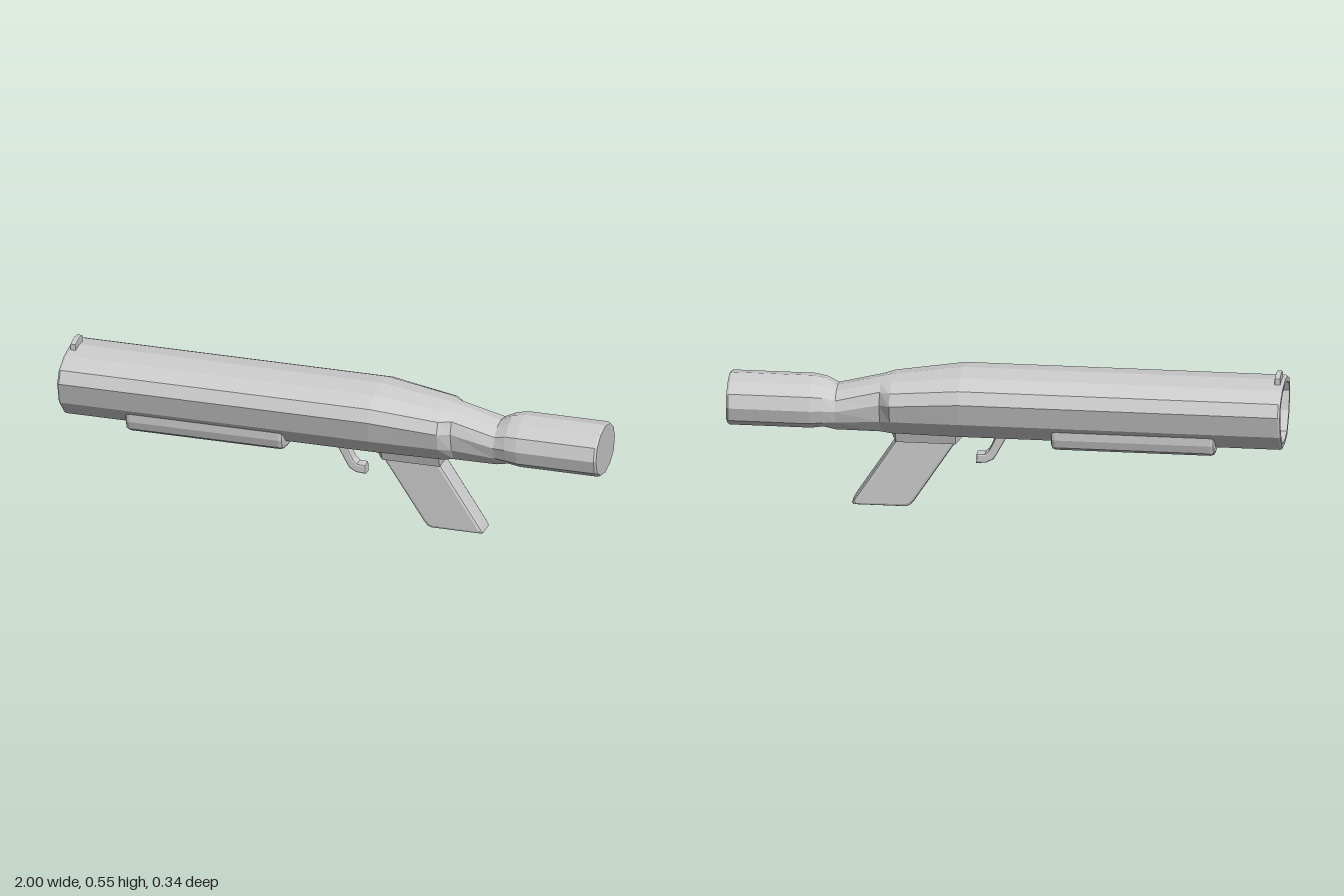
import * as THREE from 'three';

const mat = new THREE.MeshStandardMaterial({ color: 0xcccccc, flatShading: true, side: THREE.DoubleSide });

function add(parent, name, geometry) {
  const mesh = new THREE.Mesh(geometry, mat);
  mesh.name = name;
  parent.add(mesh);
  return mesh;
}

// Half profile [z, y] from top to bottom, mirrored into a closed ring
function mirrorRing(half) {
  return [...half, ...half.slice(1, -1).reverse().map(([z, y]) => [-z, y])];
}

function scaleRing(ring, s, cy) {
  return ring.map(([z, y]) => [z * s, cy + (y - cy) * s]);
}

// Skin between rings along x; sections are [x, ring]
function loft(sections) {
  const pos = [];
  for (let i = 0; i < sections.length - 1; i++) {
    const [x0, r0] = sections[i], [x1, r1] = sections[i + 1];
    for (let j = 0; j < r0.length; j++) {
      const k = (j + 1) % r0.length;
      const a = [x0, r0[j][1], r0[j][0]], b = [x0, r0[k][1], r0[k][0]];
      const c = [x1, r1[k][1], r1[k][0]], d = [x1, r1[j][1], r1[j][0]];
      pos.push(...a, ...b, ...c, ...a, ...c, ...d);
    }
  }
  const g = new THREE.BufferGeometry();
  g.setAttribute('position', new THREE.Float32BufferAttribute(pos, 3));
  g.computeVertexNormals();
  return g;
}

// Outline extruded symmetrically about z = 0, with bevelled rims
function slab(points, width, bevel) {
  const shape = new THREE.Shape(points.map(([x, y]) => new THREE.Vector2(x, y)));
  const g = new THREE.ExtrudeGeometry(shape, {
    depth: width - 2 * bevel, bevelEnabled: true, bevelThickness: bevel,
    bevelSize: bevel, bevelOffset: -bevel, bevelSegments: 2,
  });
  return g.translate(0, 0, bevel - width / 2);
}

export function createModel() {
  const model = new THREE.Group();
  model.name = 'launcher';

  // Twelve-sided cross-sections
  const barrel = mirrorRing([[0, .528], [.085, .516], [.148, .487], [.17, .442], [.148, .36], [.08, .29], [0, .28]]);
  const shoulder = mirrorRing([[0, .492], [.068, .482], [.12, .457], [.14, .415], [.122, .35], [.07, .29], [0, .28]]);
  const neckFront = mirrorRing([[0, .483], [.05, .474], [.086, .45], [.1, .405], [.088, .338], [.055, .29], [0, .28]]);
  const neckBack = mirrorRing([[0, .442], [.05, .434], [.086, .41], [.1, .372], [.088, .328], [.055, .291], [0, .282]]);
  const stock = mirrorRing([[0, .473], [.062, .46], [.107, .427], [.122, .378], [.107, .327], [.062, .296], [0, .283]]);
  const bore = scaleRing(barrel, 0.84, 0.405);

  // Body: hollow barrel, tapered shoulder, neck and rear tube in one skin
  add(model, 'body', loft([
    [0.1, scaleRing(bore, 0, 0.405)],
    [0.1, bore],
    [-1, bore],
    [-1, scaleRing(barrel, 0.97, 0.405)],
    [-0.993, barrel],
    [0.16, barrel],
    [0.41, shoulder],
    [0.45, neckFront],
    [0.61, neckBack],
    [0.655, scaleRing(stock, 0.93, 0.37)],
    [0.7, stock],
    [0.992, stock],
    [1, scaleRing(stock, 0.95, 0.378)],
    [1, scaleRing(stock, 0, 0.378)],
  ]));

  // Fore grip cradling the underside of the barrel
  const cradle = [[.127, .34], [.127, .308], [.117, .277], [.095, .262], [.05, .254]];
  const foreGrip = slab([...cradle, ...cradle.map(([z, y]) => [-z, y]).reverse()], 0.59, 0.015);
  foreGrip.rotateY(Math.PI / 2).translate(-0.465, 0, 0);
  add(model, 'foreGrip', foreGrip);

  // Raked pistol grip
  add(model, 'grip', slab([
    [.17, .27], [.385, .27], [.545, .025], [.555, .007], [.548, 0], [.362, 0], [.345, .007], [.33, .025],
  ], 0.087, 0.012));

  // Flared collar joining grip and body
  const collar = (h) => [[0, .33], [h + .03, .33], [h + .012, .29], [h, .25], [0, .25]];
  const collarRing = mirrorRing(collar(0.05));
  add(model, 'gripCollar', loft([
    [0.15, scaleRing(collarRing, 0, 0.32)],
    [0.15, scaleRing(collarRing, 0.6, 0.33)],
    [0.18, collarRing],
    [0.395, collarRing],
    [0.415, scaleRing(collarRing, 0.6, 0.33)],
    [0.415, scaleRing(collarRing, 0, 0.32)],
  ]));

  // Hooked trigger
  add(model, 'trigger', slab([
    [-.015, .3], [.025, .3], [.064, .22], [.078, .207], [.108, .205], [.11, .17], [.075, .172], [.048, .186], [.038, .202],
  ], 0.045, 0.007));

  // Front sight blade with a slightly peaked top
  const sight = slab([
    [-.042, .5], [.042, .5], [.042, .545], [.036, .549], [0, .554], [-.036, .549], [-.042, .545],
  ], 0.02, 0.003);
  sight.rotateY(Math.PI / 2).translate(-0.978, 0, 0);
  add(model, 'frontSight', sight);

  return model;
}
